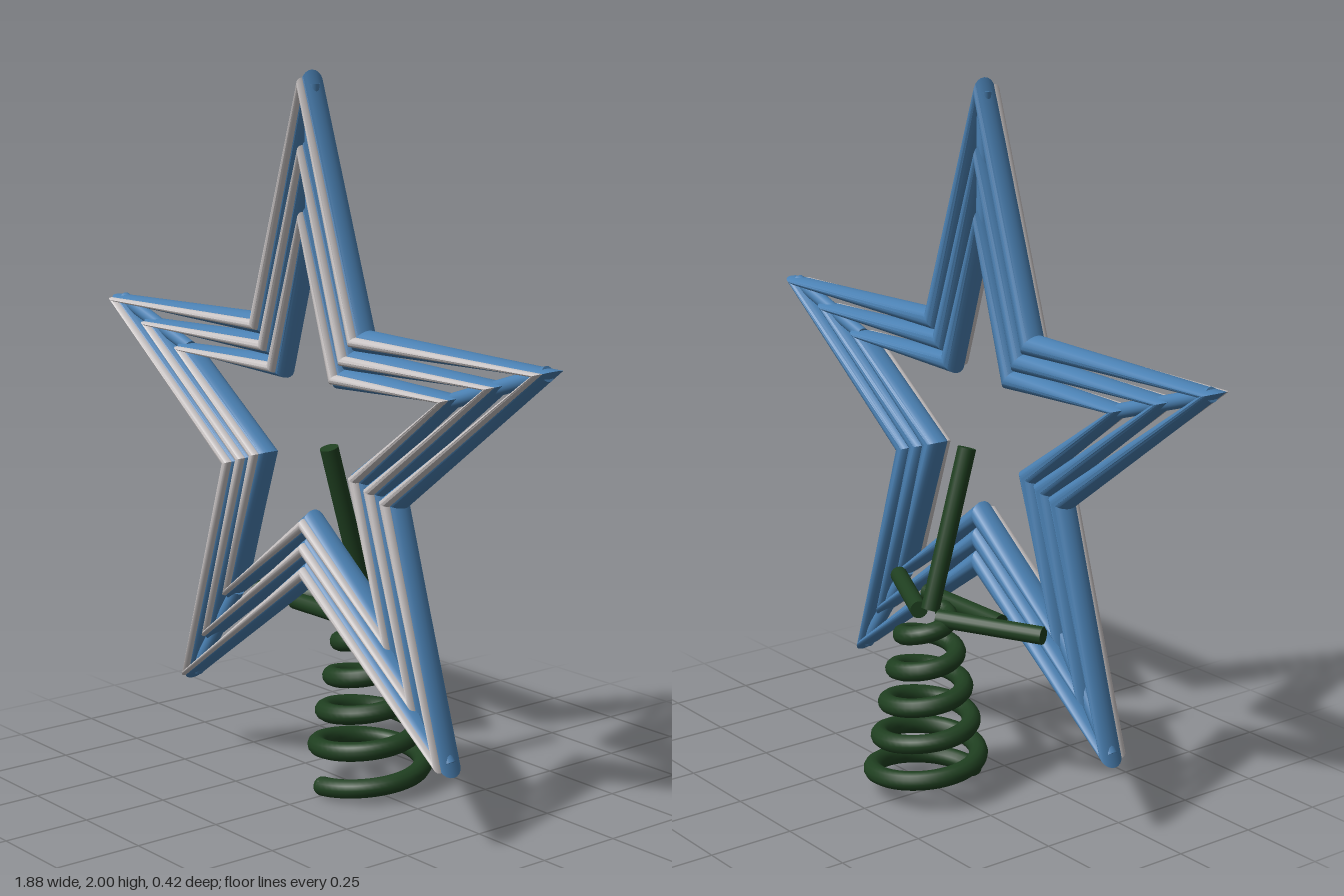
import * as THREE from 'three';
import { toCreasedNormals } from 'three/addons/utils/BufferGeometryUtils.js';

const CENTER_Y = 1.013, STAR_Z = 0.162, INNER_RATIO = 0.382;

// Closed five-pointed outline; one ring per corner gives the pinched tips
class StarCurve extends THREE.Curve {
  constructor(radius, z) {
    super();
    this.corners = [];
    for (let i = 0; i < 10; i++) {
      const r = i % 2 ? radius * INNER_RATIO : radius;
      const a = (i * Math.PI) / 5;
      this.corners.push(new THREE.Vector3(r * Math.sin(a), CENTER_Y + r * Math.cos(a), z));
    }
  }
  getPoint(t, target = new THREE.Vector3()) {
    const s = (((t % 1) + 1) % 1) * 10;
    const i = Math.floor(s) % 10;
    return target.lerpVectors(this.corners[i], this.corners[(i + 1) % 10], s - Math.floor(s));
  }
  getPointAt(u, target) {
    return this.getPoint(Math.round(u * 10) / 10, target);
  }
  getTangentAt(u, target = new THREE.Vector3()) {
    const i = Math.round(u * 10);
    return target.copy(this.corners[(i + 1) % 10]).sub(this.corners[(i + 9) % 10]).normalize();
  }
}

// Conical helix for the spring, starting at the front
class SpringCurve extends THREE.Curve {
  getPoint(t, target = new THREE.Vector3()) {
    const a = t * 5 * Math.PI * 2;
    const r = 0.163 - 0.105 * t;
    return target.set(r * Math.sin(a), 0.029 + 0.5 * t, -0.03 + r * Math.cos(a));
  }
}

export function createModel() {
  const model = new THREE.Group();
  const material = (name, color) => {
    const m = new THREE.MeshStandardMaterial({ color });
    m.name = name;
    return m;
  };
  const blue = material('blue', 0x4a80b2);
  const silver = material('silver', 0xc9c4c4);
  const green = material('dark green', 0x1f3f20);

  const add = (name, geometry, mat, parent = model) => {
    const mesh = new THREE.Mesh(geometry, mat);
    mesh.name = name;
    parent.add(mesh);
    return mesh;
  };
  // Straight round rod between two points
  const rod = (name, from, to, radius, mat, parent) => {
    const a = new THREE.Vector3(...from), b = new THREE.Vector3(...to);
    const dir = b.clone().sub(a);
    const mesh = add(name, new THREE.CylinderGeometry(radius, radius, dir.length(), 16), mat, parent);
    mesh.position.copy(a).add(b).multiplyScalar(0.5);
    mesh.quaternion.setFromUnitVectors(new THREE.Vector3(0, 1, 0), dir.normalize());
    return mesh;
  };
  const starTube = (radius, z, thickness, sides) =>
    toCreasedNormals(new THREE.TubeGeometry(new StarCurve(radius, z), 10, thickness, sides, true), 0.6);

  // Three nested star frames, each with a bright strip on its front
  const star = new THREE.Group();
  star.name = 'star';
  model.add(star);
  for (const radius of [0.95, 0.775, 0.6]) {
    add('starFrame', starTube(radius, STAR_Z, 0.037, 20), blue, star);
    add('lightStrip', starTube(radius, STAR_Z + 0.036, 0.017, 12), silver, star);
  }

  // Radial struts joining the nested tips
  for (let i = 0; i < 5; i++) {
    const a = (i * Math.PI * 2) / 5;
    const at = r => [r * Math.sin(a), CENTER_Y + r * Math.cos(a), STAR_Z];
    rod('tipStrut', at(0.6), at(0.95), 0.02, blue, star);
  }

  // Spring base with closed ends
  const mount = new THREE.Group();
  mount.name = 'mount';
  model.add(mount);
  const spring = new SpringCurve();
  add('spring', new THREE.TubeGeometry(spring, 200, 0.027, 12, false), green, mount);
  for (const t of [0, 1]) {
    add('springEnd', new THREE.SphereGeometry(0.027, 12, 8), green, mount)
      .position.copy(spring.getPoint(t));
  }

  // Rods carrying the star
  rod('uprightRod', [0, 0.54, -0.02], [0, 0.985, 0.108], 0.026, green, mount);
  rod('crossBar', [-0.17, 0.522, 0.097], [0.17, 0.522, 0.097], 0.024, green, mount);
  for (const side of [-1, 1]) {
    rod('sideArm', [side * 0.045, 0.527, -0.025], [side * 0.33, 0.527, 0.115], 0.025, green, mount);
  }
  return model;
}
